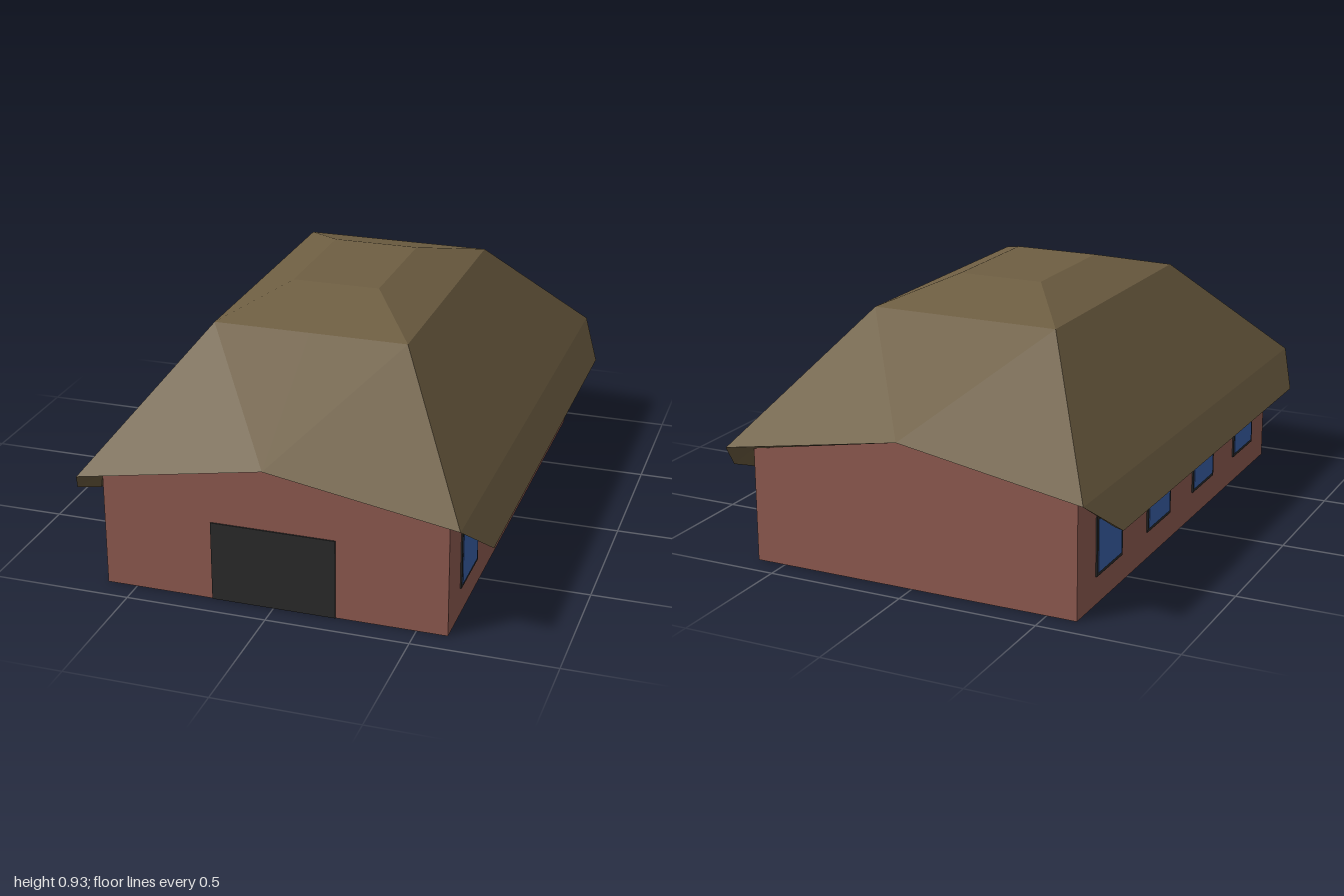
import * as THREE from 'three';

const mat = (color) => new THREE.MeshStandardMaterial({ color, flatShading: true });
const WALL = mat(0x8e5a50), ROOF = mat(0x6e5e42), DARK = mat(0x2a2a2a), GLASS = mat(0x3a60a8);
const W = 0.608, D = 0.915; // half width and half depth of the walls
const EAVE = 0.41, PEAK = 0.545;

function box(name, material, w, h, d, x, y, z) {
  const m = new THREE.Mesh(new THREE.BoxGeometry(w, h, d), material);
  m.name = name;
  m.position.set(x, y, z);
  return m;
}

// Gabled block extruded front to back
function walls() {
  const s = new THREE.Shape();
  s.moveTo(-W, 0);
  s.lineTo(W, 0);
  s.lineTo(W, EAVE);
  s.lineTo(0, PEAK);
  s.lineTo(-W, EAVE);
  s.closePath();
  const g = new THREE.ExtrudeGeometry(s, { depth: 2 * D, bevelEnabled: false });
  g.translate(0, 0, -D);
  const m = new THREE.Mesh(g, WALL);
  m.name = 'walls';
  return m;
}

// Faceted hipped roof: one quarter, mirrored across both axes
function roof() {
  const top = [0.157, 0.927, 0.235], shoulder = [0.346, 0.848, 0.52];
  const corner = [0.664, 0.431, 1], lip = [0.738, 0.313, 0.85];
  const inner = [0.68, 0.29, 0.78], wallTop = [W, EAVE, D];
  const peak = [0, PEAK, 1], innerPeak = [0, PEAK, D];
  const midX = (p) => [0, p[1], p[2]];
  const midZ = (p) => [p[0], p[1], 0];
  const faces = [
    [midX(midZ(top)), midX(top), top, midZ(top)],           // flat top
    [midX(top), midX(shoulder), shoulder, top],             // upper end slope
    [midX(shoulder), peak, shoulder],                       // lower end slope
    [peak, corner, shoulder],
    [top, shoulder, midZ(shoulder), midZ(top)],             // upper side slope
    [shoulder, corner, midZ(corner), midZ(shoulder)],       // lower side slope
    [corner, lip, midZ(lip), midZ(corner)],                 // eave flap
    [lip, inner, midZ(inner), midZ(lip)],                   // eave edge
    [corner, wallTop, inner, lip],                          // flap end
    [corner, peak, innerPeak, wallTop],                     // gable soffit
    [inner, wallTop, midZ(wallTop), midZ(inner)],           // eave soffit
  ];
  const pos = [];
  for (const sx of [1, -1]) for (const sz of [1, -1]) for (const f of faces) {
    const q = f.map(([x, y, z]) => [x * sx, y, z * sz]);
    if (sx * sz < 0) q.reverse();
    for (let i = 1; i < q.length - 1; i++) pos.push(...q[0], ...q[i], ...q[i + 1]);
  }
  const g = new THREE.BufferGeometry();
  g.setAttribute('position', new THREE.Float32BufferAttribute(pos, 3));
  g.computeVertexNormals();
  const m = new THREE.Mesh(g, ROOF);
  m.name = 'roof';
  return m;
}

export function createModel() {
  const model = new THREE.Group();
  model.name = 'house';
  model.add(walls(), roof());

  // Wide front door
  model.add(box('door', DARK, 0.44, 0.288, 0.01, 0, 0.145, D));

  // Four framed windows along each side
  for (const side of [1, -1]) for (const z of [-0.66, -0.22, 0.22, 0.66]) {
    const win = new THREE.Group();
    win.name = 'window';
    win.add(box('windowFrame', DARK, 0.01, 0.21, 0.216, side * W, 0.205, z));
    win.add(box('windowGlass', GLASS, 0.014, 0.186, 0.192, side * W, 0.205, z));
    model.add(win);
  }
  return model;
}
